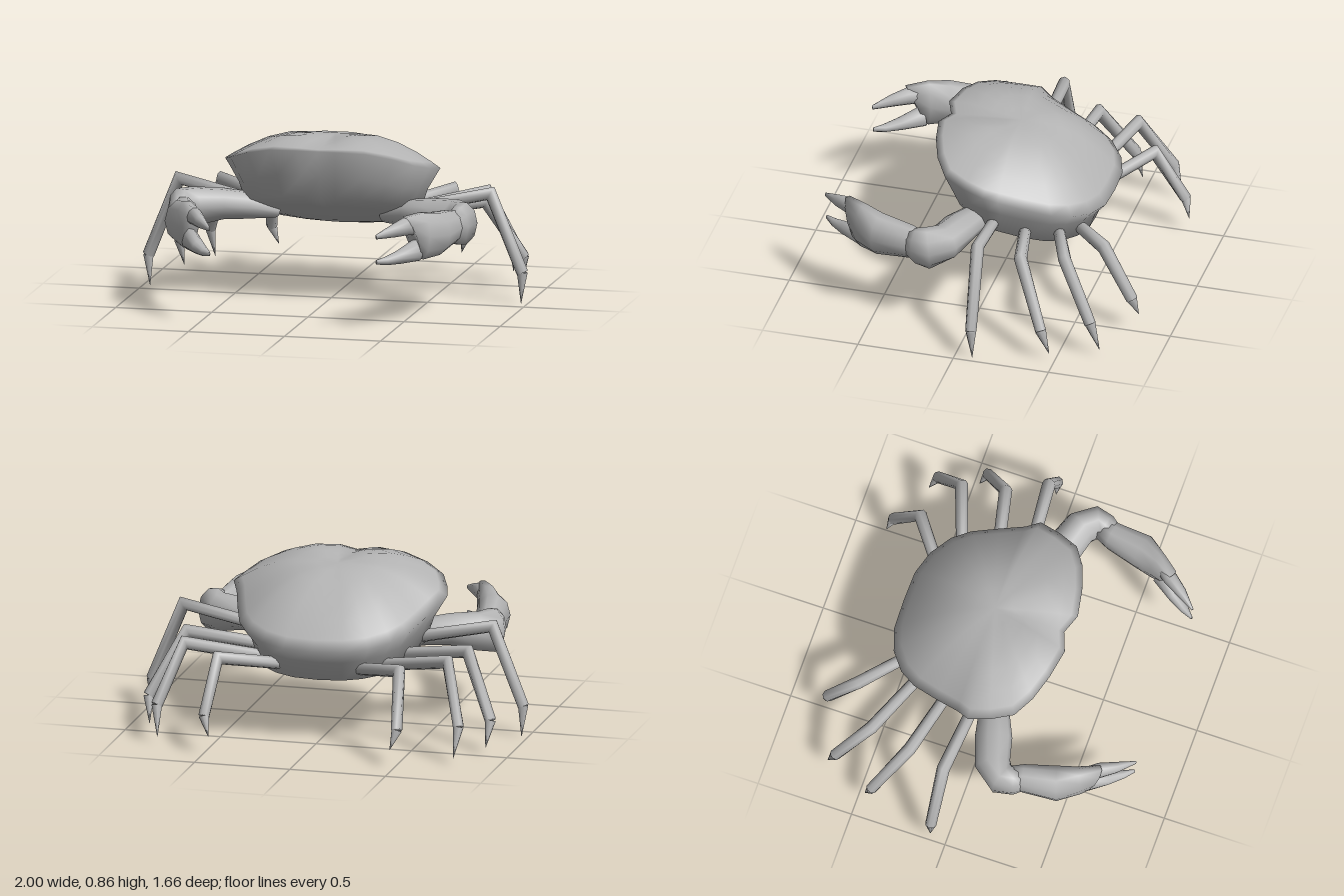
import * as THREE from 'three';
import { mergeVertices } from 'three/addons/utils/BufferGeometryUtils.js';

const V = (x, y, z) => new THREE.Vector3(x, y, z);

// Smooth skin over a list of closed rings with equal point counts
function skin(rings) {
  const n = rings[0].length, index = [];
  for (let i = 0; i < rings.length - 1; i++) {
    for (let j = 0; j < n; j++) {
      const k = (j + 1) % n;
      const a = i * n + j, b = i * n + k, c = a + n, d = b + n;
      index.push(a, c, b, b, c, d);
    }
  }
  let g = new THREE.BufferGeometry().setFromPoints(rings.flat());
  g.setIndex(index);
  g = mergeVertices(g, 1e-5);
  g.computeVertexNormals();
  return g;
}

// Elliptical tube through sections [x, y, z, halfWidth, halfHeight], closed at both ends
function limb(sections, s, sides = 10) {
  const pts = sections.map(([x, y, z]) => V(x * s, y, z));
  const rings = sections.map(([, , , rx, ry], i) => {
    const t = pts[Math.min(i + 1, pts.length - 1)].clone()
      .sub(pts[Math.max(i - 1, 0)]).normalize();
    const side = t.clone().cross(V(0, 1, 0)).normalize();
    const up = side.clone().cross(t);
    return Array.from({ length: sides }, (_, j) => {
      const a = (j / sides) * Math.PI * 2;
      return pts[i].clone().addScaledVector(side, rx * Math.cos(a)).addScaledVector(up, ry * Math.sin(a));
    });
  });
  rings.unshift(rings[0].map(() => pts[0].clone()));
  rings.push(rings[0].map(() => pts[pts.length - 1].clone()));
  return skin(rings);
}

export function createModel() {
  const crab = new THREE.Group();
  crab.name = 'crab';
  const shellGrey = new THREE.MeshStandardMaterial({ color: 0xb4b4b4 });
  shellGrey.name = 'shell grey';
  const add = (parent, name, geometry) => {
    const m = new THREE.Mesh(geometry, shellGrey);
    m.name = name;
    parent.add(m);
  };

  // Rim of the carapace: half outline, front notch to back
  const half = [
    [0, 0.82, 0.29], [0.10, 0.828, 0.328], [0.25, 0.82, 0.30], [0.38, 0.79, 0.255],
    [0.48, 0.75, 0.19], [0.53, 0.72, 0.08], [0.56, 0.70, -0.03], [0.525, 0.665, -0.10],
    [0.485, 0.62, -0.23], [0.44, 0.58, -0.36], [0.38, 0.555, -0.45], [0.28, 0.53, -0.525],
    [0.16, 0.515, -0.565], [0, 0.51, -0.57],
  ];
  const rim = [...half, ...half.slice(1, -1).reverse().map(([x, y, z]) => [-x, y, z])];
  const midZ = -0.08;
  // Rim scaled by s; f runs from 0 at the back to 1 at the front
  const ring = (s, height) => rim.map(([x, y, z]) => {
    const rz = midZ + (z - midZ) * s;
    return V(x * s, height(x * s, y, rz, (z + 0.57) / 0.9), rz);
  });

  // Domed upper shell
  const dome = [0, 0.2, 0.4, 0.6, 0.78, 0.92, 1].map((s) =>
    ring(s, (x, y, z, f) => 0.845 + (y - 0.845) * s ** 2
      + (0.008 + 0.03 * f) * Math.sin(Math.PI * s) * Math.min(1, Math.abs(x) / 0.16)));

  // Undercut below the rim, then a belly that climbs towards the front
  const belly = (x, y, z) => 0.338 + 0.56 * Math.max(0, z + 0.4) ** 2 + 0.22 * x * x;
  const under = [
    ring(0.88, (x, y, z, f) => y - 0.07 - 0.07 * f),
    ...[0.8, 0.62, 0.4, 0.2, 0].map((s) => ring(s, belly)),
  ];
  add(crab, 'body', skin([...dome, ...under]));

  // Walking legs: base, knee, ankle, tip
  const legs = [
    [[0.40, 0.48, -0.05], [0.81, 0.572, -0.075], [0.972, 0.17, -0.085], [0.965, 0.01, -0.09]],
    [[0.36, 0.43, -0.20], [0.735, 0.49, -0.28], [0.895, 0.18, -0.43], [0.88, 0.045, -0.47]],
    [[0.30, 0.41, -0.36], [0.69, 0.49, -0.50], [0.79, 0.20, -0.66], [0.775, 0.045, -0.705]],
    [[0.20, 0.40, -0.43], [0.475, 0.465, -0.645], [0.505, 0.20, -0.80], [0.475, 0.10, -0.827]],
  ];

  for (const s of [1, -1]) {
    const sideName = s > 0 ? 'left' : 'right';
    legs.forEach(([base, knee, ankle, tip], i) => {
      const leg = new THREE.Group();
      leg.name = `${sideName}Leg${i + 1}`;
      add(leg, 'legShaft', limb([
        [...base, 0.03, 0.032], [...knee, 0.034, 0.04], [...ankle, 0.029, 0.031],
      ], s, 8));
      add(leg, 'legTip', limb([[...ankle, 0.027, 0.028], [...tip, 0.001, 0.001]], s, 8));
      crab.add(leg);
    });

    // Claw: bent arm, palm and two pincer fingers
    const claw = new THREE.Group();
    claw.name = `${sideName}Claw`;
    add(claw, 'arm', limb([
      [0.28, 0.45, -0.01, 0.05, 0.04], [0.42, 0.48, 0.06, 0.08, 0.07],
      [0.54, 0.49, 0.10, 0.095, 0.08], [0.67, 0.48, 0.14, 0.09, 0.10],
      [0.73, 0.47, 0.21, 0.08, 0.115], [0.72, 0.47, 0.27, 0.065, 0.10],
      [0.705, 0.47, 0.31, 0.05, 0.075],
    ], s));
    add(claw, 'palm', limb([
      [0.71, 0.47, 0.25, 0.06, 0.08], [0.69, 0.47, 0.31, 0.07, 0.09],
      [0.66, 0.47, 0.48, 0.088, 0.113], [0.61, 0.475, 0.58, 0.06, 0.125],
      [0.575, 0.475, 0.64, 0.044, 0.13], [0.59, 0.46, 0.61, 0, 0],
    ], s));
    add(claw, 'lowerFinger', limb([
      [0.59, 0.405, 0.60, 0.045, 0.058], [0.52, 0.383, 0.70, 0.036, 0.034],
      [0.47, 0.375, 0.77, 0.023, 0.021], [0.435, 0.378, 0.82, 0.006, 0.012],
    ], s));
    add(claw, 'upperFinger', limb([
      [0.59, 0.53, 0.60, 0.03, 0.045], [0.545, 0.537, 0.67, 0.038, 0.046],
      [0.50, 0.525, 0.74, 0.028, 0.033], [0.435, 0.508, 0.825, 0.006, 0.012],
    ], s));
    crab.add(claw);
  }
  return crab;
}
